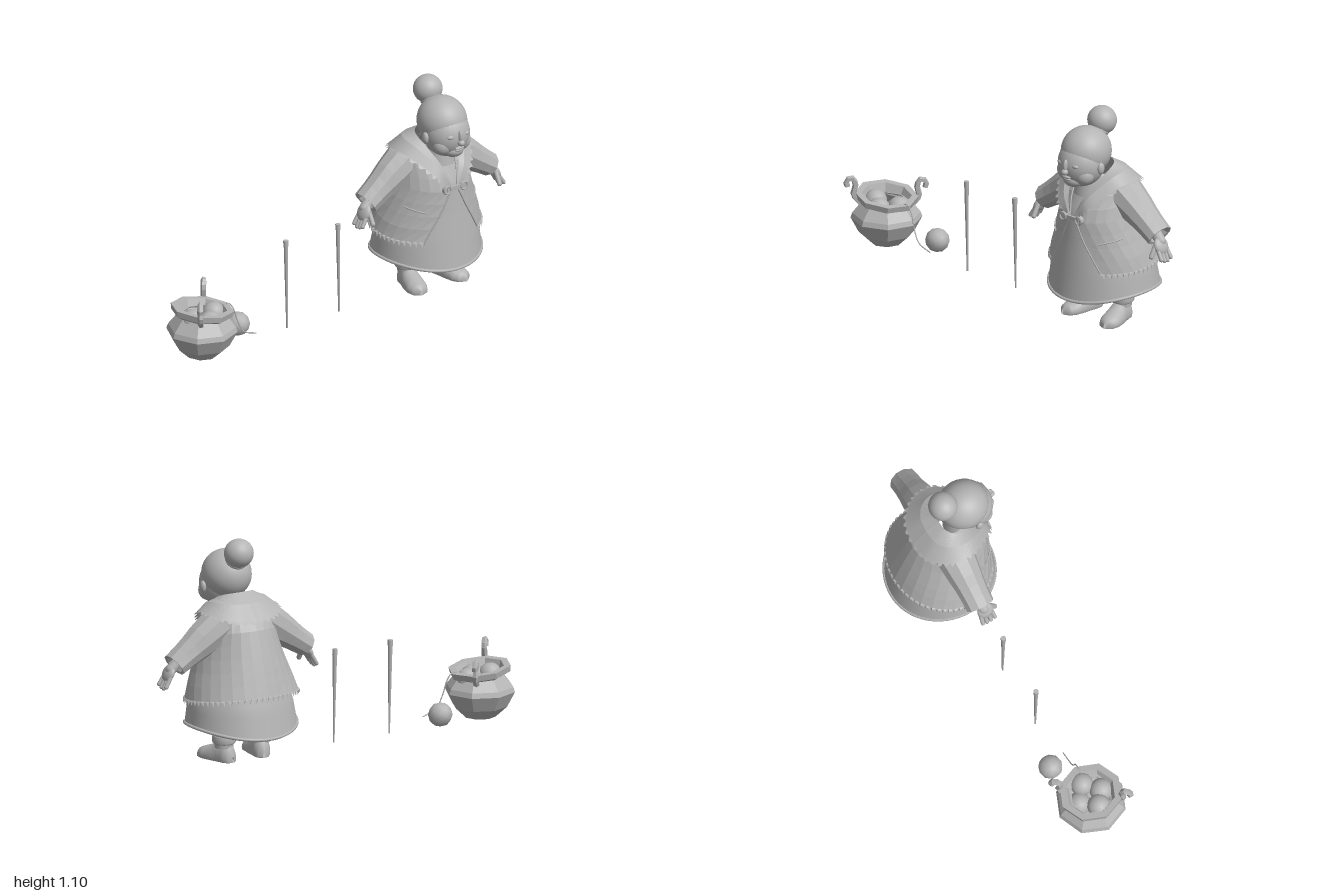
import * as THREE from 'three';
import { mergeVertices } from 'three/addons/utils/BufferGeometryUtils.js';

const clay = new THREE.MeshStandardMaterial({ color: 0xb4b4b4, side: THREE.DoubleSide });
clay.name = 'clay grey';
const V = (x, y, z) => new THREE.Vector3(x, y, z);
const { lerp, clamp } = THREE.MathUtils;

function add(parent, name, geo, x = 0, y = 0, z = 0) {
  const m = new THREE.Mesh(geo, clay);
  m.name = name;
  m.position.set(x, y, z);
  parent.add(m);
  return m;
}

// surface from a rule fn(u, v) -> Vector3, faceted or smooth
function grid(nu, nv, fn, flat) {
  const pos = [], idx = [];
  for (let j = 0; j <= nv; j++) for (let i = 0; i <= nu; i++) pos.push(...fn(i / nu, j / nv).toArray());
  for (let j = 0; j < nv; j++) for (let i = 0; i < nu; i++) {
    const a = j * (nu + 1) + i, b = a + 1, c = a + nu + 1, d = c + 1;
    idx.push(a, b, d, a, d, c);
  }
  let g = new THREE.BufferGeometry();
  g.setAttribute('position', new THREE.Float32BufferAttribute(pos, 3));
  g.setIndex(idx);
  g = flat ? g.toNonIndexed() : mergeVertices(g, 1e-5);
  g.computeVertexNormals();
  return g;
}

const flat = (g) => { const f = g.index ? g.toNonIndexed() : g; f.computeVertexNormals(); return f; };
const ball = (rx, ry, rz) => new THREE.SphereGeometry(1, 28, 20).scale(rx, ry, rz);
const tube = (pts, r, n = 24, s = 6) => new THREE.TubeGeometry(new THREE.CatmullRomCurve3(pts), n, r, s);

// linear interpolation of table rows keyed by their first number
function table(rows, k) {
  let i = 0;
  while (i < rows.length - 2 && k > rows[i + 1][0]) i++;
  const t = clamp((k - rows[i][0]) / (rows[i + 1][0] - rows[i][0]), 0, 1);
  return rows[i].map((a, n) => lerp(a, rows[i + 1][n], t));
}

// garment rows: height, half width, front z, back z; angle 0 faces front
const DRESS = [[.16, .28, .252, -.285], [.3, .26, .235, -.255], [.45, .215, .217, -.21],
  [.585, .175, .205, -.18], [.7, .13, .155, -.12], [.78, .07, .1, -.02]];
const COAT = [[.28, .292, .235, -.287], [.36, .28, .226, -.272], [.47, .238, .222, -.238],
  [.585, .198, .216, -.2], [.68, .175, .178, -.165], [.75, .15, .12, -.11], [.8, .1, .08, -.05]];
function onBody(rows, a, y, grow = 0) {
  const [, rx, zf, zb] = table(rows, y);
  return V((rx + grow) * Math.sin(a), y, (zf + zb) / 2 + ((zf - zb) / 2 + grow) * Math.cos(a));
}

const dressHem = (a) => .182 - .02 * Math.cos(2 * a);
const coatHem = (a) => .345 - .025 * Math.cos(a);
const coatTop = (a) => .775 - .025 * Math.cos(a);
const gapX = (y) => table([[.3, .17], [.37, .13], [.47, .07], [.585, .015], [.7, .05], [.8, .07]], y)[1];
function coatPoint(u, v) {
  const y0 = lerp(coatHem(u * 2 * Math.PI), coatTop(u * 2 * Math.PI), v);
  const gap = Math.asin(clamp(gapX(y0) / table(COAT, y0)[1], 0, 1));
  const a = lerp(gap, 2 * Math.PI - gap, u);
  return onBody(COAT, a, y0);
}

function clothes(g) {
  add(g, 'dress', grid(64, 24, (u, v) => {
    const a = u * 2 * Math.PI;
    return onBody(DRESS, a, lerp(dressHem(a), .78, v));
  }));
  const hem = [];
  for (let i = 0; i < 40; i++) { const a = i / 40 * 2 * Math.PI; hem.push(onBody(DRESS, a, dressHem(a))); }
  add(g, 'dressHem', new THREE.TubeGeometry(new THREE.CatmullRomCurve3(hem, true), 80, .008, 6, true));

  // faceted coat, open at the front, with a toothed lower edge
  add(g, 'coat', grid(24, 7, coatPoint, true));
  const N = 144;
  add(g, 'coatFringe', grid(N, 1, (u, v) => {
    const k = Math.min(Math.floor(u * 24), 23), t = u * 24 - k;
    const p = coatPoint(k / 24, 0).lerp(coatPoint((k + 1) / 24, 0), t);
    const drop = [.004, .004, .026][Math.round(u * N) % 3];
    return v ? p : p.add(V(p.x * .03, -drop, p.z * .03));
  }, true));
  for (const s of [-1, 1]) {
    const edge = [], pocket = [];
    for (let i = 0; i <= 10; i++) {
      edge.push(coatPoint(s > 0 ? 0 : 1, i / 10));
      pocket.push(onBody(COAT, s * lerp(.62, 1.15, i / 10), lerp(.465, .49, i / 10), .001));
    }
    add(g, 'coatEdge', tube(edge, .004));
    add(g, 'pocketSeam', tube(pocket, .004));
  }

  // shawl collar with notched outer edge
  const outer = new THREE.CatmullRomCurve3([V(.035, .59, .222), V(.09, .645, .212), V(.14, .7, .155),
    V(.195, .755, .06), V(.2, .757, -.02), V(.17, .745, -.09), V(.1, .728, -.145), V(0, .72, -.162)]);
  const inner = new THREE.CatmullRomCurve3([V(.012, .59, .222), V(.045, .68, .192), V(.07, .74, .145),
    V(.09, .79, .09), V(.095, .815, .045), V(.085, .83, .01), V(.05, .838, -.015), V(0, .84, -.022)]);
  const M = 72;
  for (const s of [-1, 1]) {
    add(g, 'collar', grid(M, 3, (u, v) => {
      const a = inner.getPoint(u), b = outer.getPoint(u), d = b.clone().sub(a).normalize();
      const p = a.lerp(b, Math.min(v * 1.5, 1));
      p.y += .016 * Math.sin(Math.PI * Math.min(v * 1.5, 1));
      if (v === 1) p.addScaledVector(d, [.002, .017, .017, .002][Math.round(u * M) % 4]);
      p.x *= s;
      return p;
    }, true));
  }

  // clasp
  add(g, 'claspBar', new THREE.BoxGeometry(.1, .022, .012), 0, .58, .222);
  for (const s of [-1, 1]) {
    add(g, 'claspButton', new THREE.CylinderGeometry(.022, .022, .016, 16).rotateX(Math.PI / 2), s * .05, .58, .219);
    add(g, 'claspLoop', new THREE.TorusGeometry(.019, .005, 6, 16), s * .05, .58, .228);
  }
}

function head(g) {
  add(g, 'neck', new THREE.CylinderGeometry(.06, .08, .13, 20), 0, .745, .09);
  add(g, 'face', ball(.115, .12, .115), 0, .853, .15);
  add(g, 'hair', ball(.121, .122, .128), 0, .903, .115);
  add(g, 'hairBun', ball(.073, .071, .071), 0, 1.028, .002);
  add(g, 'bunTie', new THREE.TorusGeometry(.045, .01, 8, 20).rotateX(Math.PI / 2 - .6), 0, .985, .03);
  add(g, 'chin', ball(.055, .04, .05), 0, .783, .205);
  add(g, 'noseBridge', ball(.011, .035, .016), 0, .862, .262);
  add(g, 'noseTip', ball(.017, .016, .019), 0, .835, .269);
  add(g, 'upperLip', ball(.026, .008, .011), 0, .806, .257);
  add(g, 'lowerLip', ball(.022, .008, .011), 0, .793, .251);
  for (const s of [-1, 1]) {
    add(g, 'cheek', ball(.052, .052, .05), s * .054, .812, .19);
    add(g, 'eyelid', ball(.02, .011, .012), s * .045, .868, .246);
    add(g, 'ear', ball(.014, .03, .02), s * .119, .847, .14);
  }
}

function capsule(parent, name, a, b, r) {
  const d = b.clone().sub(a), m = add(parent, name, new THREE.CapsuleGeometry(r, d.length(), 5, 10));
  m.position.copy(a).lerp(b, .5);
  m.quaternion.setFromUnitVectors(V(0, 1, 0), d.normalize());
}

// limbs of the +x side; the other side is mirrored
function limbs(g) {
  // sleeve rows: t, half height, half depth; the last rows turn inward at the cuff
  const rows = [[0, .095, .1], [.35, .088, .088], [.7, .068, .074], [1, .06, .072]];
  const a = V(.12, .692, -.01), b = V(.372, .522, -.004), up = V(.56, .83, 0);
  const ring = (u, t, k = 1) => {
    const [, h, w] = table(rows, t), q = u * 2 * Math.PI + Math.PI / 10;
    return a.clone().lerp(b, t).addScaledVector(up, k * h * Math.cos(q)).add(V(0, 0, k * w * Math.sin(q)));
  };
  add(g, 'sleeve', grid(10, 5, (u, v) => ring(u, v), true));
  add(g, 'cuffInside', grid(10, 2, (u, v) => ring(u, v < 1 ? 1 - v * .02 : .9, 1 - v * .45), true));
  capsule(g, 'wrist', V(.34, .545, 0), V(.385, .5, .005), .028);
  const palm = add(g, 'palm', ball(.021, .045, .043), .395, .482, .012);
  palm.rotation.z = .45;
  for (let i = 0; i < 4; i++) {
    const z = .045 - i * .022, y = [.425, .415, .412, .422][i];
    capsule(g, 'finger', V(.403, .465, z * .9), V(.428, y, z), .0105);
  }
  capsule(g, 'thumb', V(.385, .49, .04), V(.385, .437, .07), .012);

  add(g, 'leg', new THREE.CylinderGeometry(.06, .045, .3, 20), .105, .23, -.03);
  add(g, 'ankleBand', new THREE.LatheGeometry([[.03, .1], [.05, .1], [.057, .108], [.057, .138], [.05, .147], [.03, .147]]
    .map((p) => new THREE.Vector2(...p)), 24), .105, 0, -.03);
  // shoe rows: z, half width, height
  const shoe = [[-.085, .006, .03], [-.075, .03, .07], [-.05, .043, .1], [0, .046, .1], [.035, .052, .078],
    [.09, .054, .058], [.125, .04, .045], [.143, .006, .025]];
  const foot = new THREE.Group();
  foot.name = 'foot';
  foot.position.set(.107, .012, -.005);
  foot.rotation.y = .22;
  g.add(foot);
  add(foot, 'shoe', grid(24, 24, (u, v) => {
    const [z, w, h] = table(shoe, lerp(-.085, .143, v)), q = u * 2 * Math.PI;
    return V(w * Math.cos(q), Math.max(0, h * (.25 + .75 * Math.sin(q))), z);
  }));
}

function basket(g) {
  const lathe = (pts) => flat(new THREE.LatheGeometry(pts.map((p) => new THREE.Vector2(...p)), 8));
  add(g, 'pot', lathe([[0, .035], [.06, .035], [.078, .012], [.135, .065], [.174, .14], [.166, .165],
    [.118, .225], [.1, .225], [.14, .15], [.08, .09], [0, .09]]));
  add(g, 'potRim', lathe([[.108, -.03], [.15, -.008], [.156, .022], [.122, .022], [.1, -.03], [.108, -.03]]), 0, .238, 0)
    .rotation.z = -.12;
  // curled handles on opposite corners of the rim
  for (const [s, lift] of [[1, -.015], [-1, .01]]) {
    const pts = [[.125, .21], [.16, .255], [.15, .305], [.165, .34], [.195, .33], [.19, .3]]
      .map(([r, y]) => V(s * .64 * r, y + lift, s * -.77 * r));
    add(g, 'handle', flat(tube(pts, .015, 10, 5)));
  }
  const yarn = () => new THREE.IcosahedronGeometry(.057, 2);
  for (const [x, y, z] of [[-.063, .21, .008], [.076, .205, -.008], [.006, .2, .06], [.01, .16, -.06]])
    add(g, 'yarnBall', yarn(), x, y, z);
  add(g, 'looseYarnBall', new THREE.IcosahedronGeometry(.06, 1), .27, .072, -.07);
  add(g, 'yarnThread', tube([V(.09, .235, .01), V(.15, .245, .012), V(.178, .21, .015), V(.2, .14, .02),
    V(.235, .075, .024), V(.31, .045, .024)], .003, 24, 5));
}

export function createModel() {
  const model = new THREE.Group();
  const woman = new THREE.Group();
  woman.name = 'woman';
  woman.position.x = .56;
  clothes(woman);
  head(woman);
  for (const s of [1, -1]) {
    const side = new THREE.Group();
    side.name = s > 0 ? 'leftLimbs' : 'rightLimbs';
    side.scale.x = s;
    limbs(side);
    woman.add(side);
  }
  const pot = new THREE.Group();
  pot.name = 'yarnPot';
  pot.position.set(-.83, 0, .027);
  basket(pot);
  model.add(woman, pot);

  // two knitting needles
  for (const x of [-.31, .006]) {
    const n = add(model, 'needle', new THREE.CylinderGeometry(.011, .004, .44, 8), x, .22, .018);
    n.rotation.z = .015;
    add(n, 'needleHead', new THREE.CylinderGeometry(.013, .013, .03, 8), 0, .232, 0);
  }
  return model;
}
